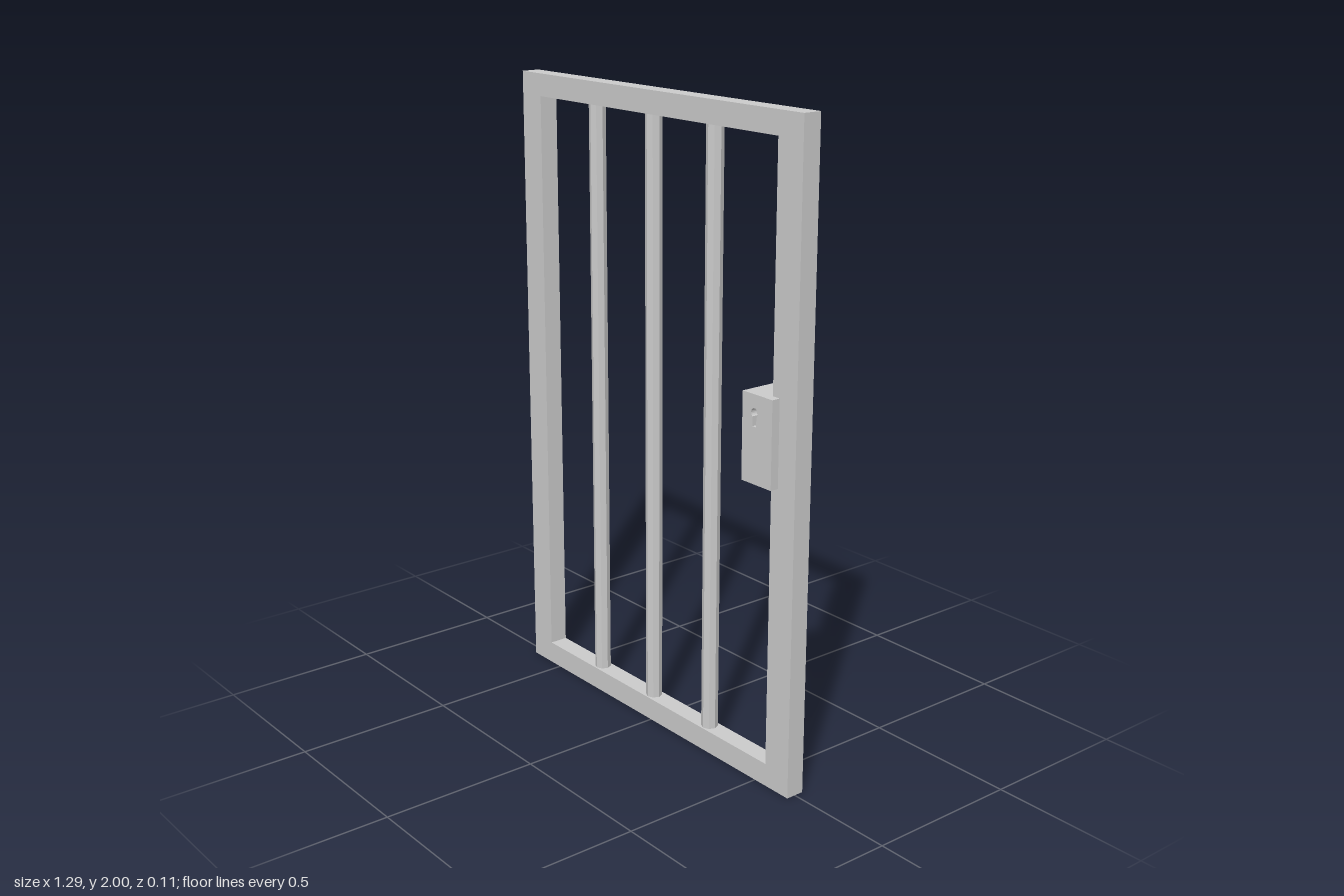
import * as THREE from 'three';

const material = new THREE.MeshStandardMaterial({ color: 0xcccccc, flatShading: true });

function rectangle(Type, x0, x1, y0, y1) {
  const s = new Type();
  s.moveTo(x0, y0);
  s.lineTo(x1, y0);
  s.lineTo(x1, y1);
  s.lineTo(x0, y1);
  s.closePath();
  return s;
}

// Flat plate from a shape, centred on z = 0
function plate(shape, depth) {
  const g = new THREE.ExtrudeGeometry(shape, { depth, bevelEnabled: false, curveSegments: 8 });
  return g.translate(0, 0, -depth / 2);
}

// Round top with a straight slot below
function keyholePath(x, y) {
  const r = 0.014, w = 0.008, a = Math.asin(w / r);
  const p = new THREE.Path();
  p.moveTo(x - w, y - 0.04);
  p.lineTo(x + w, y - 0.04);
  p.absarc(x, y, r, -Math.PI / 2 + a, Math.PI * 1.5 - a, false);
  p.closePath();
  return p;
}

export function createModel() {
  const door = new THREE.Group();
  door.name = 'barredDoor';
  const add = (name, geometry, x = 0, y = 0, z = 0) => {
    const mesh = new THREE.Mesh(geometry, material);
    mesh.name = name;
    mesh.position.set(x, y, z);
    door.add(mesh);
  };

  // Outer frame with one rectangular opening
  const outline = rectangle(THREE.Shape, -0.643, 0.643, 0, 2);
  outline.holes.push(rectangle(THREE.Path, -0.548, 0.545, 0.072, 1.93));
  add('frame', plate(outline, 0.06));

  // Vertical bars
  for (const x of [-0.294, -0.021, 0.254]) {
    add('bar', new THREE.CylinderGeometry(0.026, 0.026, 1.87, 8, 1, true), x, 1.001, 0);
  }

  // Lock case: solid core between two faces pierced by recessed keyholes
  const faceDepth = 0.02, half = 0.057;
  add('lockCore', new THREE.BoxGeometry(0.124, 0.265, 2 * (half - faceDepth)), 0.511, 1.078, 0);
  const face = rectangle(THREE.Shape, 0.449, 0.573, 0.9455, 1.2105);
  face.holes.push(keyholePath(0.5, 1.156));
  for (const side of [1, -1]) {
    add(side > 0 ? 'lockFrontFace' : 'lockBackFace', plate(face, faceDepth), 0, 0, side * (half - faceDepth / 2));
  }
  return door;
}
